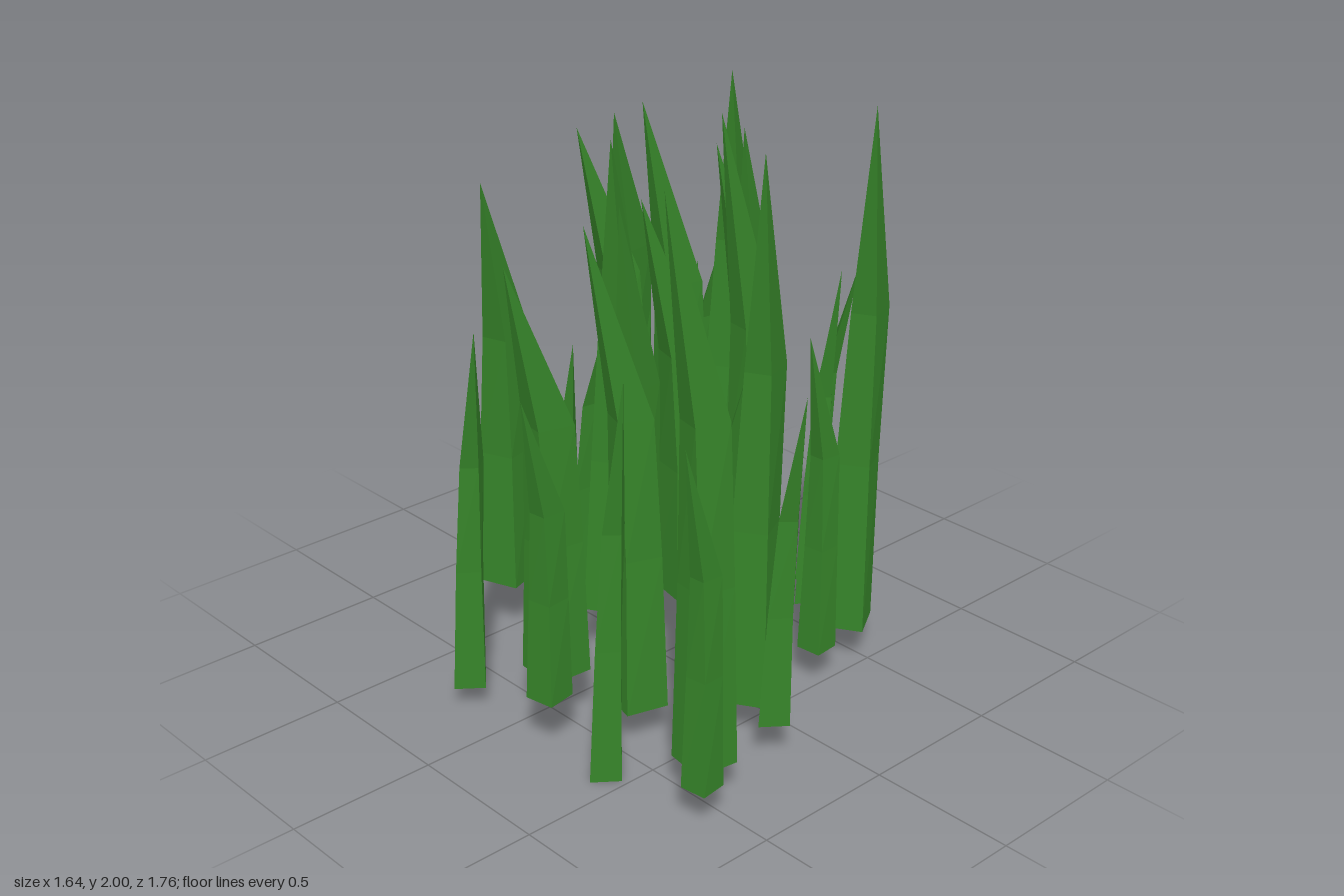
import * as THREE from 'three';

// Triangular cross-sections of one blade: [height share, left, right, ridge] as [sideways, forward]
const SECTIONS = [
  [0, [-0.11, 0], [0.11, 0], [0, 0.11]],
  [0.33, [-0.088, 0.025], [0.098, 0.025], [0, 0.11]],
  [0.62, [-0.075, 0.067], [0.085, 0.067], [-0.015, 0.135]],
];
const TIP = [-0.094, 0.2];

// Blades: x, z, turn in degrees, thickness, foot height, tip height
const LARGE = [
  [0.58, -0.835, 24, 1, 0.27, 1.7], [0.415, -0.65, 61, 1, 0.27, 1.7],
  [-0.255, -0.515, 25, 1, 0.2, 1.7], [0.725, -0.45, 15, 1, 0.2, 1.9],
  [0.31, -0.245, 51, 1, 0.2, 1.9], [0.58, -0.19, 25, 0.93, 0.13, 1.78],
  [-0.115, -0.12, 14, 1, 0.2, 1.9], [0.435, -0.005, 60, 0.92, 0.13, 1.78],
  [0.055, 0.06, 58, 1, 0.27, 1.7], [-0.535, 0.08, 49, 1, 0.2, 1.64],
  [-0.26, 0.135, 24, 0.92, 0.13, 1.78], [-0.4, 0.32, 61, 0.92, 0.13, 1.78],
  [0.145, 0.275, 51, 0.92, 0.13, 2], [0.47, 0.42, 14, 0.92, 0.13, 2],
  [-0.115, 0.53, 14, 0.93, 0.13, 2], [-0.475, 0.705, 53, 0.92, 0.13, 2],
];
const SMALL = [
  [0.745, -0.665, -42, 0.66, 0.2, 1.28], [0.17, -0.525, -7, 0.66, 0.08, 1.36],
  [-0.095, -0.345, -42, 0.66, 0.2, 1.28], [0.45, -0.41, -7, 0.66, 0.2, 1.28],
  [0.675, -0.285, -7, 0.7, 0.2, 1.3], [-0.67, -0.205, -7, 0.66, 0.08, 1.38],
  [-0.39, -0.08, -7, 0.66, 0.13, 1.3], [0.18, -0.14, 36, 0.68, 0.2, 1.3],
  [0.735, -0.02, -42, 0.66, 0.13, 1.28], [0.22, 0.09, -7, 0.64, 0, 1.3],
  [0.615, 0.1, -7, 0.64, 0.13, 1.3], [0.485, 0.22, -7, 0.62, 0.13, 1.4],
  [-0.175, 0.035, -7, 0.66, 0.13, 1.4], [-0.66, 0.195, 35, 0.66, 0.2, 1.28],
  [-0.105, 0.31, -42, 0.64, 0.13, 1.28], [-0.62, 0.41, -7, 0.64, 0, 1.4],
  [-0.355, 0.555, -7, 0.64, 0.13, 1.3], [0.265, 0.475, 40, 0.58, 0.13, 1.3],
  [-0.16, 0.685, -7, 0.64, 0.13, 1.3], [-0.58, 0.805, 38, 0.58, 0.13, 1.31],
];

// Loft the triangle sections to the bent tip, with unshared corners for flat faces
function bladeGeometry(thickness, height) {
  const lean = 0.35 + 0.65 * thickness;
  const rings = SECTIONS.map(([t, ...ring]) =>
    ring.map(([x, z]) => [x * thickness, t * height, z * thickness]));
  const tip = [TIP[0] * lean, height, TIP[1] * lean];
  const points = [...rings[0]]; // underside
  for (let r = 0; r < rings.length; r++) {
    for (let i = 0; i < 3; i++) {
      const j = (i + 1) % 3;
      const a = rings[r][i], b = rings[r][j];
      if (r === rings.length - 1) points.push(a, tip, b);
      else points.push(a, rings[r + 1][i], b, b, rings[r + 1][i], rings[r + 1][j]);
    }
  }
  const geometry = new THREE.BufferGeometry();
  geometry.setAttribute('position', new THREE.Float32BufferAttribute(points.flat(), 3));
  geometry.computeVertexNormals();
  return geometry;
}

export function createModel() {
  const model = new THREE.Group();
  model.name = 'grassClump';
  const green = new THREE.MeshStandardMaterial({ color: 0x37862a, flatShading: true });

  const plant = (name, blades) => {
    const group = new THREE.Group();
    group.name = name + 's';
    for (const [x, z, turn, thickness, foot, top] of blades) {
      const blade = new THREE.Mesh(bladeGeometry(thickness, top - foot), green);
      blade.name = name;
      blade.position.set(x, foot, z);
      blade.rotation.y = -THREE.MathUtils.degToRad(turn);
      group.add(blade);
    }
    model.add(group);
  };
  plant('largeBlade', LARGE);
  plant('smallBlade', SMALL);
  return model;
}
